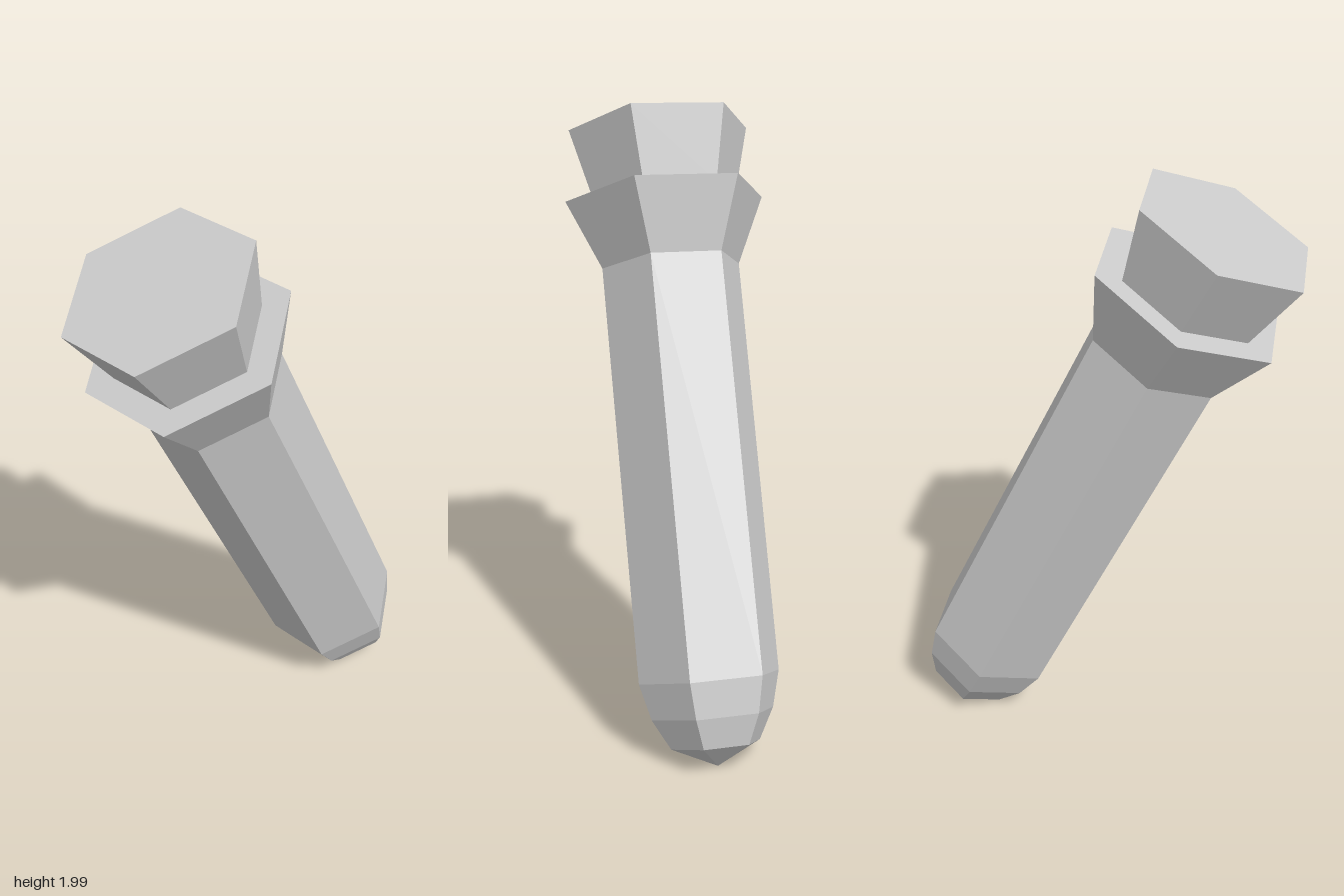
import * as THREE from 'three';

const material = new THREE.MeshStandardMaterial({ color: 0xcccccc, flatShading: true });
const TWIST = THREE.MathUtils.degToRad(2.7); // slight roll of the hexagon about its axis

// Six-sided solid of revolution from [radius, height] pairs, listed bottom to top
function hexPart(name, profile) {
  const points = profile.map(([r, y]) => new THREE.Vector2(r, y));
  const geometry = new THREE.LatheGeometry(points, 6, TWIST).toNonIndexed();
  geometry.computeVertexNormals();
  const mesh = new THREE.Mesh(geometry, material);
  mesh.name = name;
  return mesh;
}

export function createModel() {
  const model = new THREE.Group();
  model.name = 'hexagonalPeg';

  const peg = new THREE.Group();
  peg.name = 'tiltedPeg';
  peg.add(
    // Straight shaft with a rounded, pointed tip
    hexPart('shaft', [[0, -0.215], [0.146, -0.148], [0.2, -0.052], [0.231, 0.063], [0.231, 1.398]]),
    // Flared collar with a flat top
    hexPart('collar', [[0.231, 1.398], [0.334, 1.623], [0, 1.623]]),
    // Flared cap standing on the collar
    hexPart('cap', [[0.24, 1.623], [0.303, 1.862], [0, 1.862]]),
  );

  // Lean the whole peg towards -x
  peg.rotation.z = THREE.MathUtils.degToRad(25.2);
  peg.position.set(0.428, 0.201, 0);
  model.add(peg);
  return model;
}
